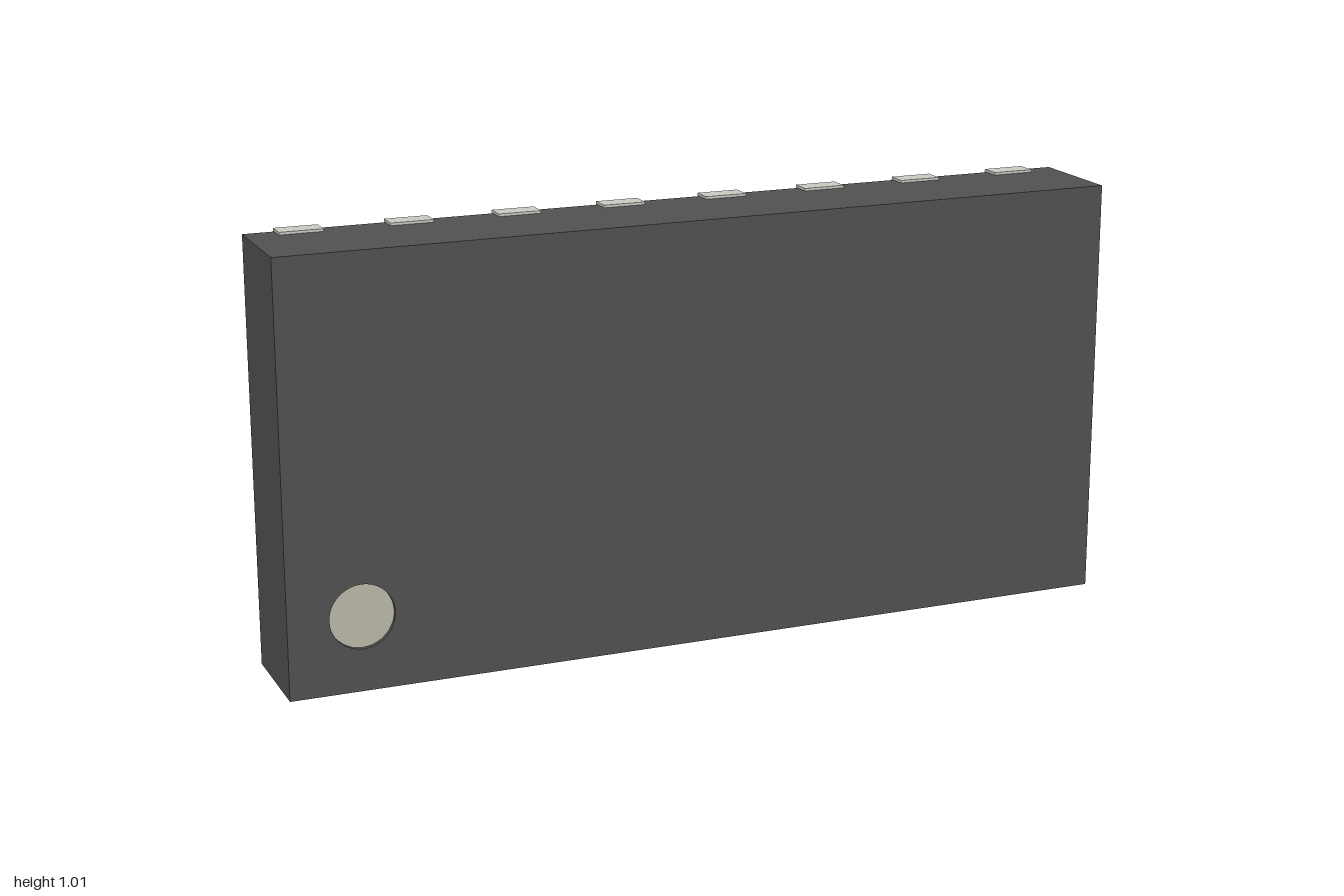
import * as THREE from 'three';

export function createModel() {
  const model = new THREE.Group();
  const bodyMat = new THREE.MeshStandardMaterial({ color: 0x505050 });
  const padMat = new THREE.MeshStandardMaterial({ color: 0xc8c8c0 });
  const dotMat = new THREE.MeshStandardMaterial({ color: 0xb8b5a5 });

  const add = (name, geometry, material, x, y, z) => {
    const mesh = new THREE.Mesh(geometry, material);
    mesh.name = name;
    mesh.position.set(x, y, z);
    model.add(mesh);
  };

  const bottom = 0.006, top = 1.0, height = top - bottom;
  const recess = 0.01, front = 0.13, back = -0.12;
  const dotX = -0.83, dotY = 0.18, dotR = 0.075;

  // Moulded package body
  const depth = front - recess - back;
  add('body', new THREE.BoxGeometry(2, height, depth), bodyMat,
    0, (top + bottom) / 2, back + depth / 2);

  // Thin front skin with the round marker recess cut through it
  const face = new THREE.Shape([
    new THREE.Vector2(-1, bottom), new THREE.Vector2(1, bottom),
    new THREE.Vector2(1, top), new THREE.Vector2(-1, top),
  ]);
  face.holes.push(new THREE.Path().absarc(dotX, dotY, dotR, 0, Math.PI * 2, true));
  add('bodyFace', new THREE.ExtrudeGeometry(face, {
    depth: recess, bevelEnabled: false, curveSegments: 20,
  }), bodyMat, 0, 0, front - recess);

  // Corner marker at the bottom of the recess
  add('markerDot', new THREE.CircleGeometry(dotR, 20), dotMat,
    dotX, dotY, front - recess + 0.001);

  // Two rows of eight contact pads, wrapping slightly past the edges
  const padGeo = new THREE.BoxGeometry(0.1, 0.402, 0.05);
  for (let i = 0; i < 8; i++) {
    const x = (i - 3.5) * 0.251;
    add(`lowerPad${i + 1}`, padGeo, padMat, x, 0.201, -0.105);
    add(`upperPad${i + 1}`, padGeo, padMat, x, 0.805, -0.105);
  }
  return model;
}
